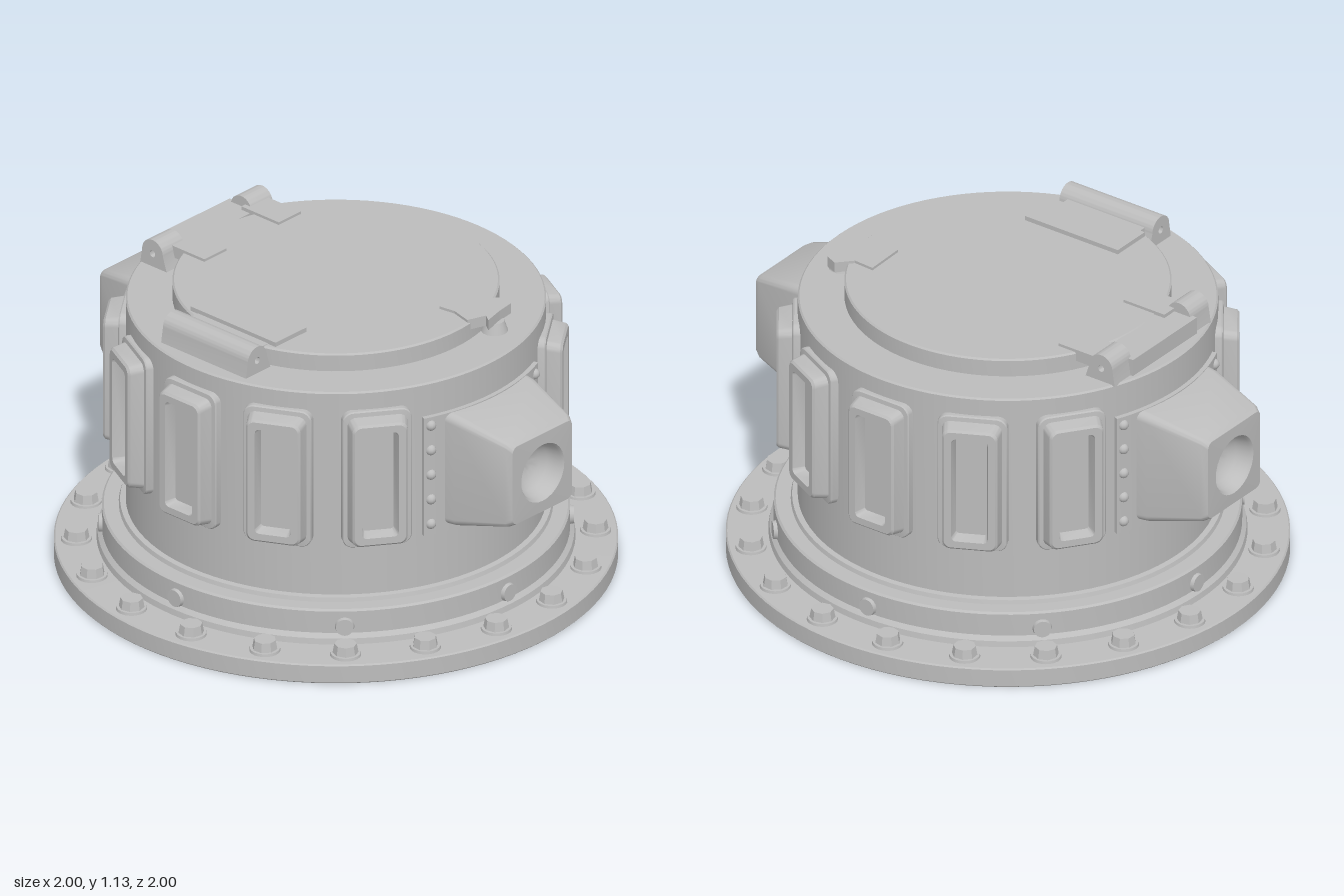
import * as THREE from 'three';
import { toCreasedNormals } from 'three/addons/utils/BufferGeometryUtils.js';

const metal = new THREE.MeshStandardMaterial({ color: 0xbcbcbc });
metal.name = 'grey metal';

function add(parent, name, geometry, x = 0, y = 0, z = 0) {
  const mesh = new THREE.Mesh(geometry, metal);
  mesh.name = name;
  mesh.position.set(x, y, z);
  parent.add(mesh);
  return mesh;
}

// Rounded rectangles [halfWidth, halfHeight, cornerRadius, z] joined along +z and capped
function loft(loops) {
  const per = 8, n = per * 4, pos = [], idx = [];
  for (const [w, h, r, z] of loops) {
    for (let i = 0; i < n; i++) {
      const q = Math.floor(i / per);
      const a = (q + (i % per) / (per - 1)) * Math.PI / 2;
      const sx = q === 0 || q === 3 ? 1 : -1, sy = q < 2 ? 1 : -1;
      pos.push(sx * (w - r) + Math.cos(a) * r, sy * (h - r) + Math.sin(a) * r, z);
    }
  }
  for (let k = 0; k < loops.length - 1; k++) {
    for (let i = 0; i < n; i++) {
      const a = k * n + i, b = k * n + (i + 1) % n;
      idx.push(a, b, b + n, a, b + n, a + n);
    }
  }
  const last = (loops.length - 1) * n, centre = loops.length * n;
  pos.push(0, 0, loops[loops.length - 1][3]);
  for (let i = 0; i < n; i++) idx.push(centre, last + i, last + (i + 1) % n);
  const g = new THREE.BufferGeometry();
  g.setAttribute('position', new THREE.Float32BufferAttribute(pos, 3));
  g.setIndex(idx);
  return toCreasedNormals(g, 0.6);
}

function lathe(points) {
  const g = new THREE.LatheGeometry(points.map(([r, y]) => new THREE.Vector2(r, y)), 96);
  return toCreasedNormals(g, 0.4);
}

// Curved plate hugging the drum, facing +z
function arcPlate(inner, outer, half, height) {
  const s = new THREE.Shape();
  s.absarc(0, 0, outer, -Math.PI / 2 - half, -Math.PI / 2 + half, false);
  s.absarc(0, 0, inner, -Math.PI / 2 + half, -Math.PI / 2 - half, true);
  const g = new THREE.ExtrudeGeometry(s, { depth: height, bevelEnabled: false, curveSegments: 16 });
  return toCreasedNormals(g.rotateX(-Math.PI / 2), 0.4);
}

// Flat outline in x/z raised by height
function slab(points, height) {
  const s = new THREE.Shape(points.map(([x, z]) => new THREE.Vector2(x, -z)));
  return new THREE.ExtrudeGeometry(s, { depth: height, bevelEnabled: false }).rotateX(-Math.PI / 2);
}

// Hinge knuckle along x with a splayed foot and a pin hole in each end
function knuckle(length) {
  const s = new THREE.Shape();
  s.moveTo(-0.07, -0.05);
  s.lineTo(0.06, -0.05);
  s.lineTo(0.05, 0.01);
  s.absarc(0, 0.01, 0.05, 0, Math.PI, false);
  s.closePath();
  const hole = new THREE.Path();
  hole.absarc(0, 0.005, 0.013, 0, Math.PI * 2, true);
  s.holes.push(hole);
  const g = new THREE.ExtrudeGeometry(s, { depth: length, bevelEnabled: false, curveSegments: 14 });
  return toCreasedNormals(g.translate(0, 0, -length / 2).rotateY(Math.PI / 2), 0.5);
}

export function createModel() {
  const model = new THREE.Group();
  model.name = 'turret';

  // Flange, collar and drum
  add(model, 'baseFlange', lathe([[0, 0.003], [0.71, 0.003], [0.71, 0], [0.995, 0], [1, 0.005],
    [1, 0.07], [0.995, 0.075], [0.8, 0.08]]));
  add(model, 'collar', lathe([[0.85, 0.075], [0.845, 0.1], [0.83, 0.115], [0.83, 0.2],
    [0.823, 0.207], [0.77, 0.207], [0.765, 0.222], [0.74, 0.225]]));
  add(model, 'drum', lathe([[0.745, 0.18], [0.745, 1.024], [0.739, 1.03], [0, 1.03]]));
  add(model, 'hatchLid', lathe([[0.58, 1.02], [0.58, 1.092], [0.574, 1.098], [0, 1.098]]));

  // Low bolts around the flange
  const washer = new THREE.CylinderGeometry(0.054, 0.056, 0.01, 20);
  const hex = toCreasedNormals(new THREE.CylinderGeometry(0.04, 0.046, 0.034, 8), 0.3);
  for (let i = 0; i < 20; i++) {
    const a = (9 + 18 * i) * Math.PI / 180, x = Math.cos(a) * 0.92, z = Math.sin(a) * 0.92;
    add(model, 'flangeWasher', washer, x, 0.081, z);
    add(model, 'flangeBolt', hex, x, 0.103, z).rotation.y = -a;
  }

  // Round studs on the collar
  const stud = new THREE.CylinderGeometry(0.032, 0.036, 0.02, 18).rotateX(Math.PI / 2);
  for (let i = 0; i < 8; i++) {
    const a = i * Math.PI / 4;
    add(model, 'collarStud', stud, Math.sin(a) * 0.833, 0.142, Math.cos(a) * 0.833).rotation.y = a;
  }

  // Framed vision ports, five per side
  const port = loft([[0.126, 0.27, 0.04, 0.7], [0.126, 0.27, 0.04, 0.757], [0.122, 0.266, 0.035, 0.762],
    [0.108, 0.25, 0.03, 0.764], [0.1, 0.242, 0.03, 0.812], [0.092, 0.234, 0.025, 0.82],
    [0.066, 0.208, 0.018, 0.82], [0.056, 0.198, 0.012, 0.775]]);
  for (const side of [-1, 1]) {
    for (let i = -2; i <= 2; i++) {
      add(model, 'visionPort', port, 0, 0.69, 0).rotation.y = side * Math.PI / 2 + i * 27 * Math.PI / 180;
    }
  }

  // Tapered housings with a bowl-shaped socket, front and back
  const bowl = [0, 0.3, 0.6, 0.9, 1.2, 1.45].map((a) => {
    const r = 0.104 * Math.cos(a);
    return [r, r, r, 0.99 - 0.085 * Math.sin(a)];
  });
  const housing = loft([[0.225, 0.228, 0.03, 0.66], [0.215, 0.218, 0.03, 0.77], [0.168, 0.168, 0.025, 0.975],
    [0.155, 0.155, 0.025, 0.998], [0.112, 0.112, 0.112, 1], ...bowl]);
  const plate = arcPlate(0.72, 0.762, 0.4, 0.47);
  const rivet = new THREE.SphereGeometry(0.02, 12, 8);
  for (const turn of [0, Math.PI]) {
    const unit = new THREE.Group();
    unit.name = 'socketHousing';
    unit.rotation.y = turn;
    model.add(unit);
    add(unit, 'mountingPlate', plate, 0, 0.43, 0);
    add(unit, 'housing', housing, 0, 0.677, 0);
    for (const s of [-1, 1]) {
      for (let i = 0; i < 5; i++) {
        add(unit, 'rivet', rivet, s * 0.27, 0.475 + i * 0.098, 0.709);
      }
    }
    add(unit, 'rivet', rivet, 0, 0.455, 0.757);
  }

  // Rear hinge: two knuckles, connecting bar and two straps
  const rear = new THREE.Group();
  rear.name = 'rearHinge';
  model.add(rear);
  for (const [x, strapX] of [[-0.222, -0.165], [0.24, 0.222]]) {
    add(rear, 'hingeKnuckle', knuckle(0.11), x, 1.075, -0.63);
    add(rear, 'hingeStrap', new THREE.BoxGeometry(0.115, 0.045, 0.18), strapX, 1.086, -0.52);
  }
  add(rear, 'hingeBar', new THREE.BoxGeometry(0.38, 0.07, 0.13), 0.01, 1.06, -0.635);

  // Hinge on the right side with a wide leaf
  const side = new THREE.Group();
  side.name = 'sideHinge';
  model.add(side);
  add(side, 'hingeKnuckle', knuckle(0.41), -0.625, 1.075, -0.005).rotation.y = Math.PI / 2;
  add(side, 'hingeLeaf', new THREE.BoxGeometry(0.16, 0.04, 0.41), -0.45, 1.095, -0.005);
  add(side, 'hingeLink', new THREE.BoxGeometry(0.1, 0.05, 0.34), -0.55, 1.075, -0.005);

  // Front latch and its keeper
  add(model, 'latch', slab([[0.08, 0.425], [0.24, 0.42], [0.235, 0.5], [0.29, 0.55], [0.27, 0.595],
    [0.2, 0.605], [0.12, 0.625], [0.14, 0.595], [0.07, 0.57], [0.09, 0.49]].reverse(), 0.04), 0, 1.068, 0);
  add(model, 'latchKeeper', new THREE.CylinderGeometry(0.035, 0.05, 0.045, 18), 0.19, 1.048, 0.59);

  return model;
}
